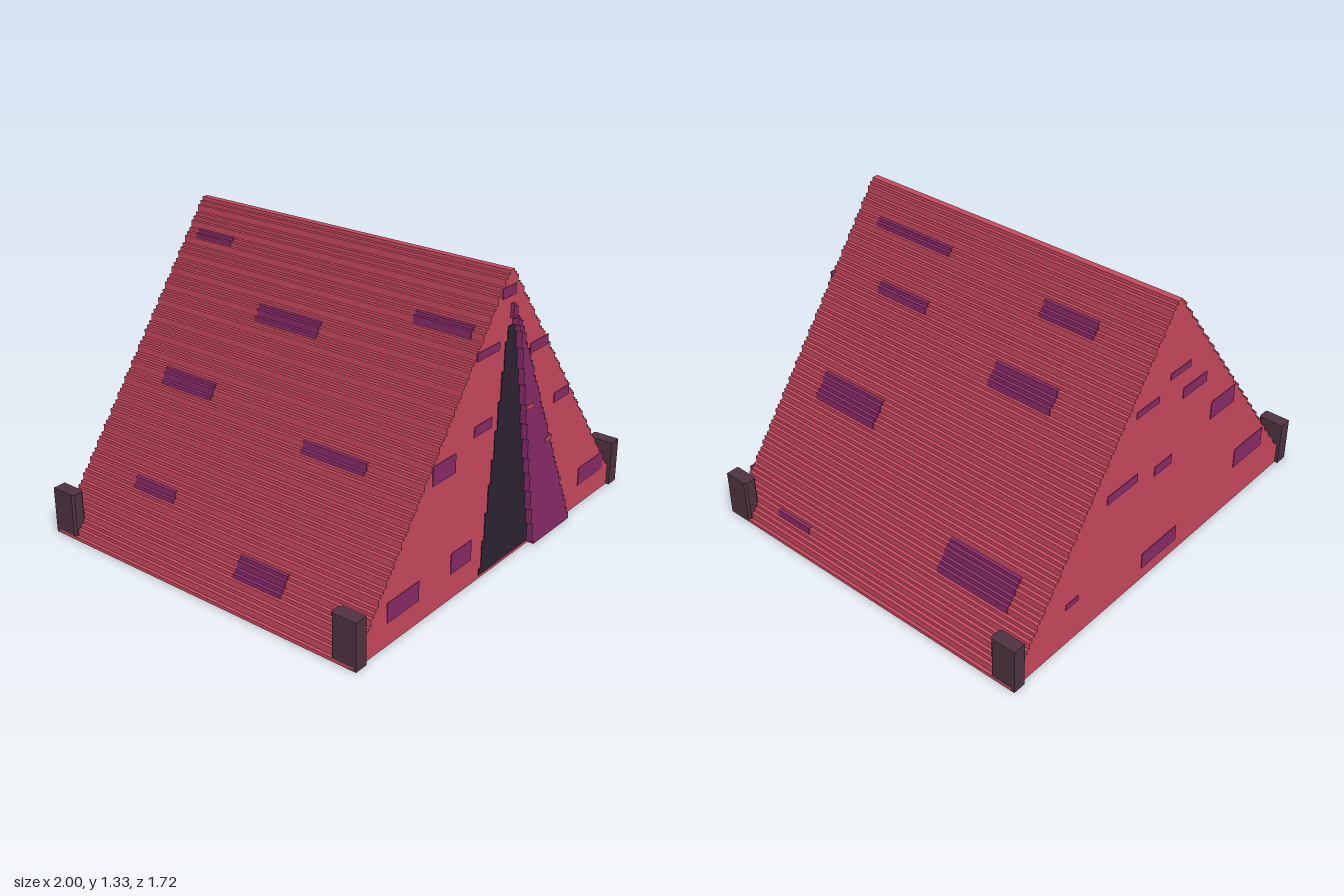
import * as THREE from 'three';

const V = 1 / 64; // size of one block
const mat = (name, color) => {
  const m = new THREE.MeshStandardMaterial({ color });
  m.name = name;
  return m;
};

// Height of the roof above block column k, counted inward from the eave (1..64)
const roofHeight = (k) => Math.round((k * 4) / 3) * V;

function extrude(points, z0, z1) {
  const shape = new THREE.Shape(points.map(([x, y]) => new THREE.Vector2(x, y)));
  const g = new THREE.ExtrudeGeometry(shape, { depth: z1 - z0, bevelEnabled: false });
  g.translate(0, 0, z0);
  return g;
}

// Stair-stepped outline built row by row between two edge functions
function rowOutline(left, right, r0, r1) {
  const snap = (x) => Math.round(x / V) * V;
  const a = [], b = [];
  for (let r = r0; r < r1; r++) {
    const y = (r + 0.5) * V;
    const l = snap(left(y));
    const x = Math.max(snap(right(y)), l + V);
    a.push([x, r * V], [x, (r + 1) * V]);
    b.push([l, r * V], [l, (r + 1) * V]);
  }
  return a.concat(b.reverse());
}

// Stepped outline of the whole tent
function tentOutline() {
  const pts = [[-1, 0], [1, 0]];
  for (let k = 1; k <= 64; k++) {
    const h = roofHeight(k);
    pts.push([1 - (k - 1) * V, h], [1 - k * V, h]);
  }
  pts.pop();
  for (let k = 64; k >= 1; k--) {
    const h = roofHeight(k);
    if (k < 64) pts.push([-1 + k * V, h]);
    pts.push([-1 + (k - 1) * V, h]);
  }
  return pts;
}

// Thin stepped skin over part of one roof slope
function roofPatch(x0, x1, z0, z1) {
  const s = Math.sign(x0 + x1), e = 0.003;
  const [outer, inner] = s > 0 ? [x1, x0] : [-x0, -x1];
  const k0 = Math.round((1 - outer) / V) + 1;
  const k1 = Math.max(k0, Math.round((1 - inner) / V));
  const top = [];
  for (let k = k0; k <= k1; k++) {
    const h = roofHeight(k) + e;
    top.push([s * (1 - (k - 1) * V + e), h], [s * (1 - k * V + e), h]);
  }
  const pts = [[s * (1 - (k0 - 1) * V + e), roofHeight(k0 - 1)], ...top,
    [s * (1 - k1 * V), roofHeight(k0 - 1)]];
  return extrude(pts, z0, z1);
}

export function createModel() {
  const group = new THREE.Group();
  const canvas = mat('red canvas', 0xcc4a60);
  const purple = mat('purple cloth', 0x8c2c6a);
  const dark = mat('dark interior', 0x2e2433);
  const wood = mat('dark wood', 0x4f3441);
  const add = (name, geo, material) => {
    const m = new THREE.Mesh(geo, material);
    m.name = name;
    group.add(m);
    return m;
  };
  const plate = (name, [x0, x1, y0, y1], z, material) =>
    add(name, new THREE.BoxGeometry(x1 - x0, y1 - y0, 0.006), material)
      .position.set((x0 + x1) / 2, (y0 + y1) / 2, z);

  const FRONT = 53 * V, BACK = -54 * V;

  // Tent body
  add('tentBody', extrude(tentOutline(), BACK, FRONT), canvas);

  // Doorway and its floor patch
  const doorRight = (y) => 0.23 - 0.195 * (y / 1.09);
  add('doorway', extrude(rowOutline((y) => -0.155 + 0.14 * (y / 1.09), doorRight, 1, 70),
    FRONT - 0.003, FRONT + 0.003), dark);
  add('doorwayFloor', new THREE.BoxGeometry(0.375, 0.004, 0.04), dark)
    .position.set(0.035, 0, 0.795);

  // Folded door flap in two layers
  const flapRight = (y) => 0.535 * (1 - y / 1.19) + 0.012;
  const flapLeft = (y) => Math.max(0.002, Math.min(doorRight(y), flapRight(y) - 0.03));
  add('flapInner', extrude(rowOutline(flapLeft, flapRight, 0, 76), FRONT, FRONT + V), purple);
  add('flapOuter', extrude(rowOutline(flapLeft, (y) => flapRight(y) - 0.008, 0, 72),
    FRONT + V, FRONT + 2 * V), purple);
  [[0.11, 0.165, 0.69, 0.71], [0.28, 0.33, 0.48, 0.5]]
    .forEach((r) => plate('flapSpot', r, FRONT + 2 * V, canvas));

  // Corner posts with clipped edges on the side facing the middle
  for (const sx of [-1, 1]) {
    for (const [zOut, dir] of [[54 * V, 1], [-55 * V, -1]]) {
      const xo = sx, xi = sx * (1 - 4 * V), zi = zOut - dir * 8 * V, c = 0.01;
      const outline = [[xo, -zOut], [xi, -zOut], [xi, -(zi + dir * c)],
        [xi + sx * c, -zi], [xo - sx * c, -zi], [xo, -(zi + dir * c)]];
      const g = extrude(outline, 0, 14 * V);
      g.rotateX(-Math.PI / 2);
      add('cornerPost', g, wood);
    }
  }

  // Patches on the front wall: x0, x1, y0, y1
  [[-0.79, -0.585, 0.105, 0.195], [-0.365, -0.22, 0.12, 0.215], [0.655, 0.88, 0.105, 0.195],
    [-0.51, -0.355, 0.58, 0.665], [-0.23, -0.105, 0.685, 0.73], [-0.23, -0.07, 1.01, 1.045],
    [0.165, 0.305, 0.92, 0.965], [0.385, 0.51, 0.62, 0.665], [-0.065, 0.03, 1.22, 1.265],
  ].forEach((r) => plate('frontPatch', r, FRONT, purple));

  // Patches on the back wall
  [[-0.11, 0.03, 0.97, 1.0], [0.1, 0.25, 0.9, 0.93], [-0.24, -0.07, 0.83, 0.88],
    [0.22, 0.42, 0.575, 0.615], [-0.02, 0.1, 0.53, 0.575], [-0.48, -0.3, 0.6, 0.69],
    [0.59, 0.67, 0.19, 0.215], [-0.1, 0.15, 0.06, 0.14], [-0.77, -0.54, 0.2, 0.3],
  ].forEach((r) => plate('backPatch', r, BACK, purple));

  // Patches on both roof slopes: x0, x1, z0, z1
  [[0.13, 0.165, -0.56, -0.28], [0.31, 0.37, -0.51, -0.18], [0.75, 0.845, -0.69, -0.31],
    [0.1, 0.125, 0.26, 0.7], [0.25, 0.28, 0.26, 0.55], [0.53, 0.61, 0.28, 0.64],
    [0.922, 0.938, 0.38, 0.58],
    [-0.815, -0.785, -0.54, -0.3], [-0.535, -0.49, -0.63, -0.33], [-0.12, -0.09, -0.78, -0.57],
    [-0.3, -0.255, -0.275, 0.07], [-0.915, -0.855, 0.145, 0.4], [-0.585, -0.54, 0.22, 0.55],
    [-0.185, -0.155, 0.49, 0.77],
  ].forEach((r) => add('roofPatch', roofPatch(...r), purple));

  return group;
}
